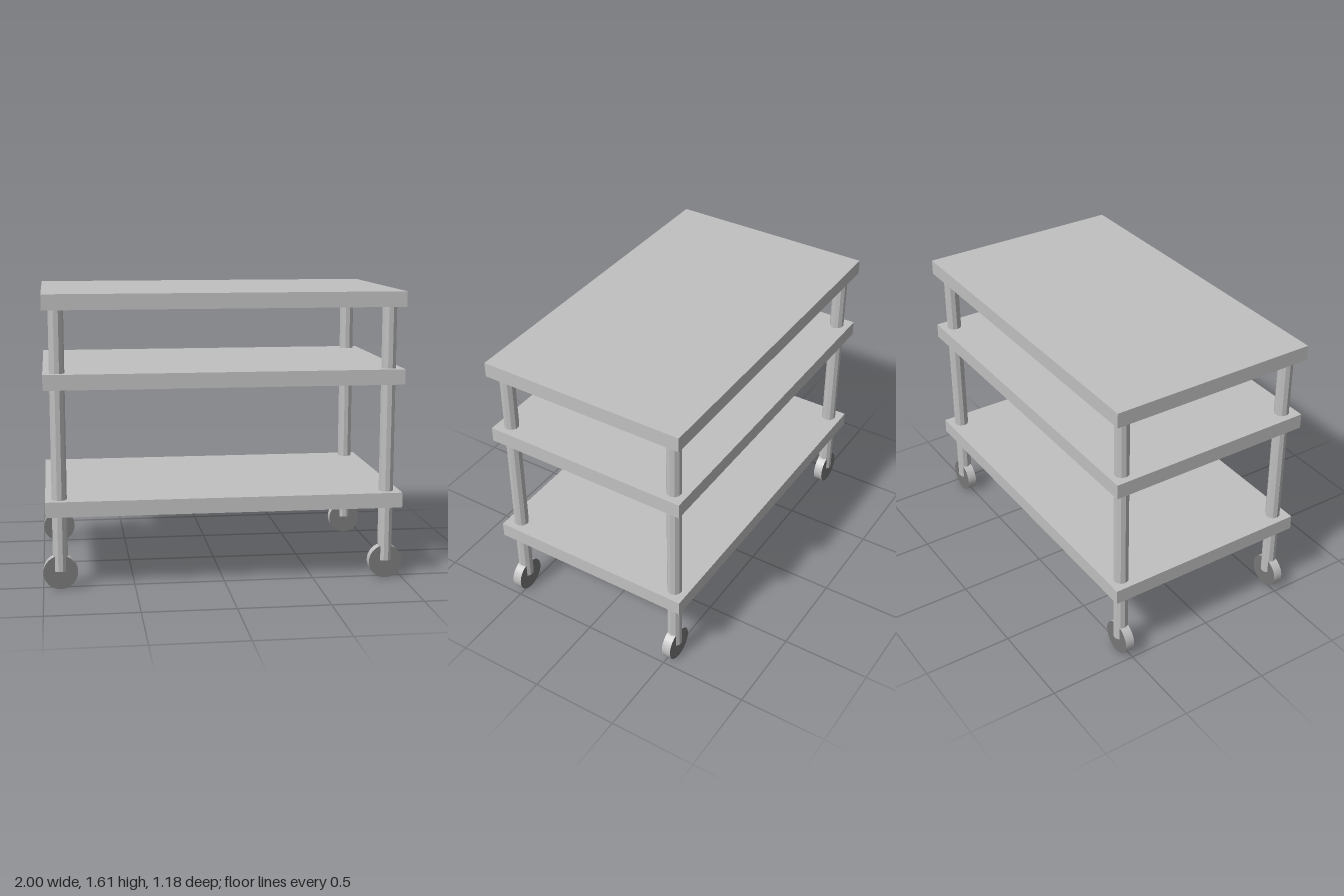
import * as THREE from 'three';

export function createModel() {
  const steel = new THREE.MeshStandardMaterial({ color: 0xc0c0c0 });
  steel.name = 'light steel';
  const hub = new THREE.MeshStandardMaterial({ color: 0x787878 });
  hub.name = 'dark grey';

  const group = new THREE.Group();
  group.name = 'cart';

  function add(name, geometry, material, x, y, z) {
    const mesh = new THREE.Mesh(geometry, material);
    mesh.name = name;
    mesh.position.set(x, y, z);
    group.add(mesh);
  }

  // Three identical shelves
  const shelf = new THREE.BoxGeometry(1.964, 0.084, 1.184);
  [['bottomShelf', 0.455], ['middleShelf', 1.143], ['topShelf', 1.567]]
    .forEach(([name, y]) => add(name, shelf, steel, 0, y, 0));

  // Ten-sided faceted post, with a corner pointing sideways
  const bottom = 0.1, top = 1.53;
  const post = new THREE.CylinderGeometry(0.041, 0.041, top - bottom, 10)
    .rotateY(Math.PI / 2).toNonIndexed();
  post.computeVertexNormals();

  // Smooth wheel rolling along x: light tread, dark side discs
  const radius = 0.094;
  const wheel = new THREE.CylinderGeometry(radius, radius, 0.053, 40).rotateX(Math.PI / 2);

  // A post and a wheel at each corner
  for (const sx of [-1, 1]) {
    for (const sz of [-1, 1]) {
      const corner = (sz > 0 ? 'front' : 'back') + (sx > 0 ? 'Left' : 'Right');
      add(corner + 'Post', post, steel, sx * 0.906, (bottom + top) / 2, sz * 0.516);
      add(corner + 'Wheel', wheel, [steel, hub, hub], sx * 0.906, radius, sz * 0.516);
    }
  }
  return group;
}
